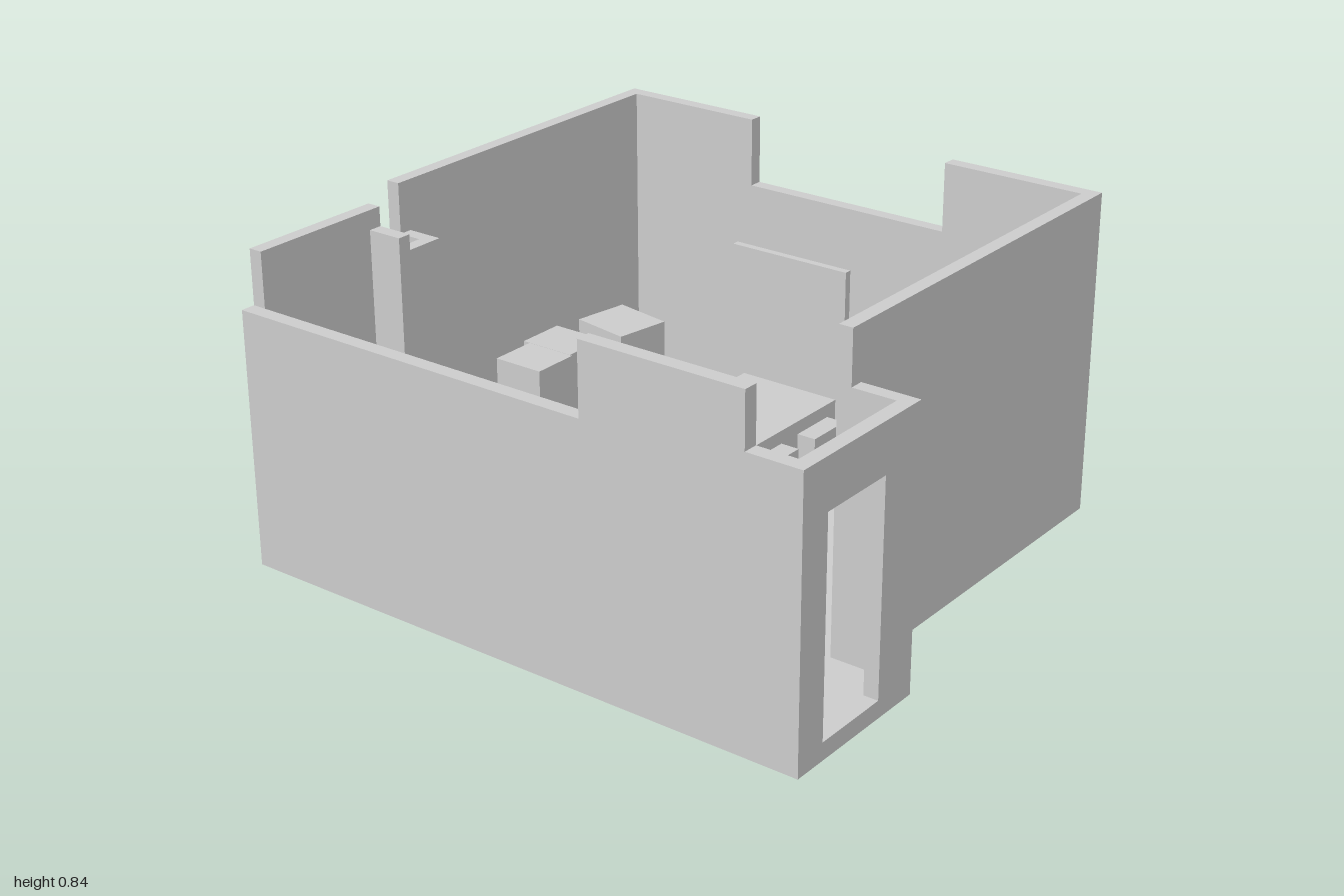
import * as THREE from 'three';

const FLOOR = 0.045;
const material = new THREE.MeshStandardMaterial({ color: 0xcccccc, flatShading: true });

// Box given by its plan limits (x0..x1, z0..z1) and its height range
function block(parent, name, x0, x1, z0, z1, top, bottom = FLOOR) {
  const geometry = new THREE.BoxGeometry(x1 - x0, top - bottom, z1 - z0);
  const mesh = new THREE.Mesh(geometry, material);
  mesh.position.set((x0 + x1) / 2, (top + bottom) / 2, (z0 + z1) / 2);
  mesh.name = name;
  parent.add(mesh);
  return mesh;
}

export function createModel() {
  const model = new THREE.Group();
  model.name = 'meetingRoom';
  const room = new THREE.Group();
  room.name = 'room';
  room.rotation.y = THREE.MathUtils.degToRad(21.4); // the room stands askew
  model.add(room);

  // Floor slab, following the outline with its front porch and back recess
  const outline = [
    [-0.706, 0.793], [-0.279, 0.793], [-0.279, 0.643], [0.752, 0.643],
    [0.752, -0.781], [-0.211, -0.781], [-0.211, -0.684], [-0.279, -0.684],
    [-0.279, -0.781], [-0.706, -0.781],
  ];
  const shape = new THREE.Shape(outline.map(([x, z]) => new THREE.Vector2(x, -z)));
  const slab = new THREE.ExtrudeGeometry(shape, { depth: FLOOR, bevelEnabled: false });
  slab.rotateX(-Math.PI / 2);
  const floor = new THREE.Mesh(slab, material);
  floor.name = 'floor';
  room.add(floor);

  // Walls, with the differing heights of their stretches
  const walls = new THREE.Group();
  walls.name = 'walls';
  room.add(walls);
  [
    ['leftWallLow', -0.706, -0.668, -0.781, 0.224, 0.66],
    ['leftWallHigh', -0.706, -0.668, 0.224, 0.651, 0.84],
    ['leftPorchWall', -0.706, -0.668, 0.651, 0.793, 0.705],
    ['rightPorchWall', -0.315, -0.279, 0.643, 0.793, 0.705],
    ['frontWall', -0.315, 0.716, 0.607, 0.643, 0.84],
    ['rightWallFront', 0.716, 0.752, 0.226, 0.643, 0.84],
    ['rightWallLow', 0.716, 0.752, -0.362, 0.226, 0.66],
    ['rightWallBack', 0.716, 0.752, -0.781, -0.362, 0.84],
    ['backWallRight', -0.211, 0.716, -0.781, -0.745, 0.84],
    ['backWallLeft', -0.668, -0.279, -0.781, -0.745, 0.80],
    ['recessLeftWall', -0.315, -0.279, -0.745, -0.65, 0.75],
    ['recessInnerWall', -0.279, -0.211, -0.684, -0.65, 0.71],
    ['recessRightWall', -0.211, -0.176, -0.745, -0.65, 0.71],
  ].forEach(([name, ...size]) => block(walls, name, ...size));

  // Porch front with its doorway
  block(walls, 'doorWallLeft', -0.668, -0.617, 0.755, 0.793, 0.705);
  block(walls, 'doorWallRight', -0.407, -0.315, 0.755, 0.793, 0.705);
  block(walls, 'doorLintel', -0.617, -0.407, 0.755, 0.793, 0.705, 0.58);

  // Long table with four chairs on each side
  block(room, 'table', -0.306, 0.496, -0.221, 0.065, 0.235);
  for (let i = 0; i < 4; i++) {
    const x = -0.271 + i * 0.2005;
    block(room, 'backChair', x, x + 0.13, -0.271, -0.221, 0.2);
    block(room, 'frontChair', x, x + 0.13, 0.065, 0.117, 0.2);
  }

  // Furniture along the walls
  block(room, 'screen', 0.572, 0.592, -0.315, 0.037, 0.55);
  block(room, 'cornerCupboard', 0.54, 0.716, 0.298, 0.541, 0.47);
  block(room, 'narrowCabinet', -0.668, -0.553, -0.745, -0.668, 0.43);
  block(room, 'backCabinet', 0.075, 0.205, -0.704, -0.56, 0.295);
  block(room, 'backCabinet', 0.206, 0.34, -0.724, -0.568, 0.295);

  // Loose pieces, turned slightly against the room
  const backSeat = block(room, 'backSeat', 0.423, 0.579, -0.718, -0.548, 0.28);
  backSeat.rotation.y = THREE.MathUtils.degToRad(-9.7);
  const leftSeat = block(room, 'leftSeat', -0.55, -0.39, -0.146, -0.008, 0.2);
  leftSeat.rotation.y = THREE.MathUtils.degToRad(-4.4);
  leftSeat.position.x = -0.47;
  leftSeat.position.z = -0.077;

  return model;
}
